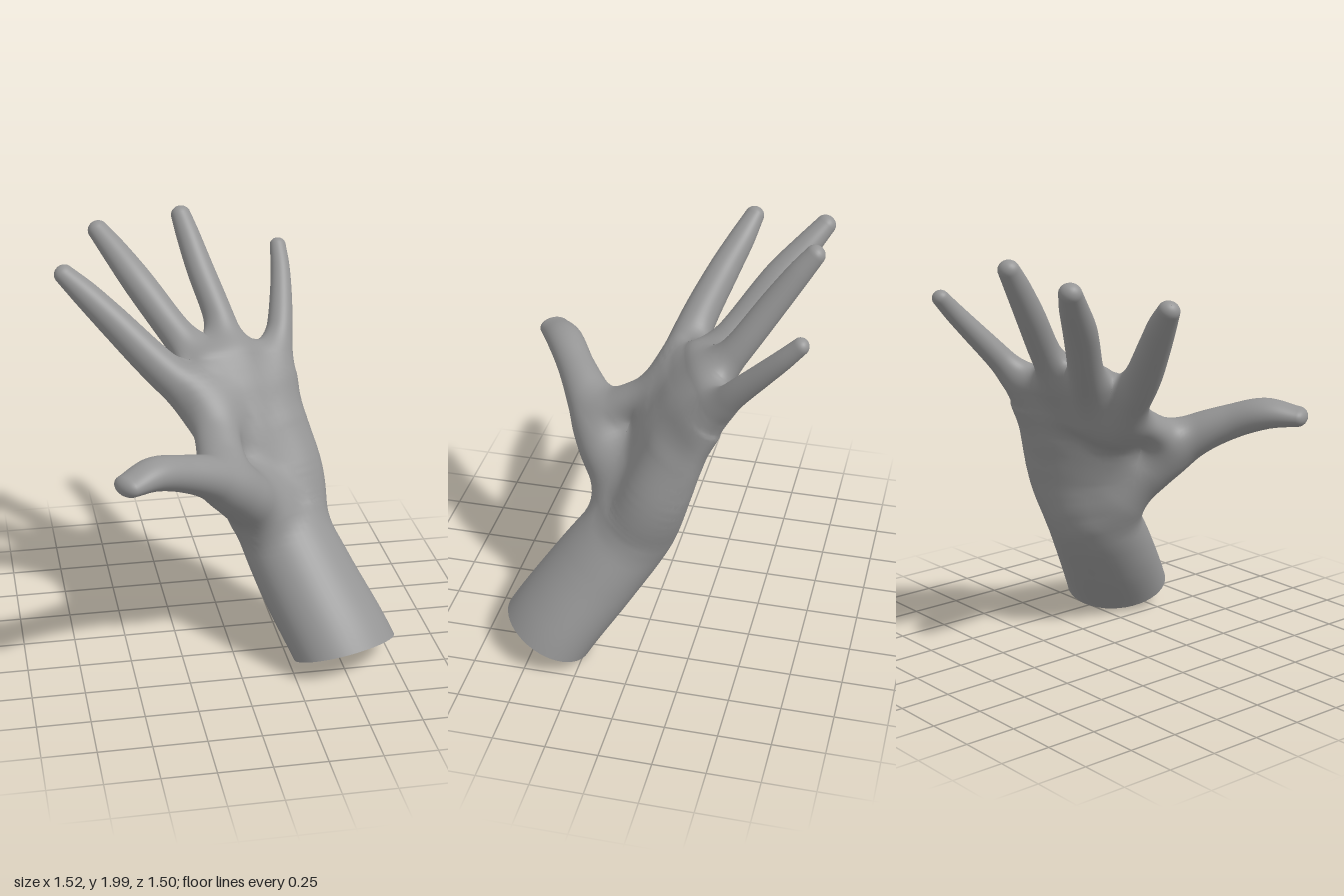
import * as THREE from 'three';

const SIDES = 44, RINGS = 50, CAP = 7, SAMPLES = 44, BLEND = 0.115;
const ACROSS = [0.82, 0.05, -0.57]; // runs across the palm, thumb side to little finger

// Each part: rows of [x, y, z, half width, half thickness] from base to tip
const PARTS = {
  forearmAndPalm: { across: ACROSS, cutAtRim: true, rows: [
    [0.57, -0.05, 0.525, 0.27, 0.21], [0.50, 0.12, 0.425, 0.265, 0.207],
    [0.367, 0.38, 0.235, 0.25, 0.21], [0.265, 0.63, 0.06, 0.235, 0.195],
    [0.235, 0.85, -0.025, 0.26, 0.145], [0.17, 1.09, -0.09, 0.295, 0.115],
    [0.12, 1.25, -0.155, 0.285, 0.098], [0.105, 1.355, -0.225, 0.225, 0.078]] },
  heelOfPalm: { across: ACROSS, rows: [
    [0.36, 0.66, 0.03, 0.09, 0.10], [0.375, 0.74, -0.005, 0.105, 0.11],
    [0.36, 0.86, -0.05, 0.11, 0.105], [0.31, 1.02, -0.12, 0.095, 0.085]] },
  thumb: { across: [0.62, 0, 0.78], rows: [
    [0.13, 0.74, 0.16, 0.14, 0.13], [0.02, 0.885, 0.265, 0.148, 0.13],
    [-0.12, 1.02, 0.385, 0.115, 0.105], [-0.27, 1.105, 0.495, 0.092, 0.085],
    [-0.42, 1.16, 0.595, 0.09, 0.075], [-0.545, 1.155, 0.685, 0.075, 0.048]] },
  thumbWeb: { across: [0.8, 0, 0.3], rows: [
    [-0.01, 1.18, -0.10, 0.06, 0.05], [-0.06, 1.175, 0.0, 0.09, 0.07],
    [-0.06, 1.115, 0.13, 0.10, 0.07], [-0.055, 1.04, 0.24, 0.095, 0.07],
    [-0.03, 0.96, 0.31, 0.06, 0.06]] },
  indexFinger: { across: ACROSS, rows: [
    [-0.04, 1.13, -0.05, 0.08, 0.08], [-0.16, 1.27, -0.06, 0.10, 0.10],
    [-0.31, 1.41, -0.10, 0.087, 0.09], [-0.50, 1.605, -0.19, 0.074, 0.077],
    [-0.62, 1.725, -0.253, 0.064, 0.062], [-0.71, 1.81, -0.295, 0.05, 0.045]] },
  middleFinger: { across: ACROSS, rows: [
    [0.01, 1.20, -0.14, 0.075, 0.07], [-0.09, 1.36, -0.24, 0.088, 0.085],
    [-0.20, 1.50, -0.345, 0.08, 0.079], [-0.34, 1.69, -0.485, 0.077, 0.073],
    [-0.44, 1.82, -0.60, 0.064, 0.06], [-0.505, 1.90, -0.67, 0.052, 0.047]] },
  ringFinger: { across: ACROSS, rows: [
    [0.12, 1.22, -0.18, 0.075, 0.065], [0.075, 1.40, -0.295, 0.082, 0.077],
    [0.04, 1.53, -0.39, 0.073, 0.07], [-0.025, 1.72, -0.52, 0.068, 0.064],
    [-0.07, 1.87, -0.625, 0.058, 0.056], [-0.093, 1.95, -0.685, 0.05, 0.046]] },
  littleFinger: { across: ACROSS, rows: [
    [0.25, 1.08, -0.16, 0.075, 0.06], [0.295, 1.23, -0.25, 0.09, 0.075],
    [0.325, 1.35, -0.34, 0.077, 0.069], [0.355, 1.45, -0.42, 0.063, 0.062],
    [0.383, 1.58, -0.54, 0.054, 0.053], [0.397, 1.68, -0.635, 0.047, 0.046],
    [0.40, 1.76, -0.71, 0.041, 0.038]] },
};

// Height above the slanted cut at the open end of the forearm
const aboveRim = p => p.y - (0.085 + 0.17 * (p.x - 0.49) + 0.4 * (p.z - 0.425));

// Centre, size and frame at t along a part
function makeSection({ across, rows }) {
  const path = new THREE.CatmullRomCurve3(rows.map(r => new THREE.Vector3(r[0], r[1], r[2])));
  const size = new THREE.CatmullRomCurve3(rows.map(r => new THREE.Vector3(r[3], r[4], 0)), false, 'catmullrom');
  const side = new THREE.Vector3(...across);
  return t => {
    const c = path.getPoint(t), s = size.getPoint(t), dir = path.getTangent(t);
    const u = side.clone().addScaledVector(dir, -dir.dot(side)).normalize();
    return { c, dir, u, v: dir.clone().cross(u), w: s.x, h: s.y };
  };
}

// Approximate distance from a point to one part's rounded, elliptical limb
function limbDistance(frames, x, y, z) {
  let best = Infinity, bi = 0, bt = 0;
  for (let i = 0; i < frames.length - 1; i++) {
    const a = frames[i].c, b = frames[i + 1].c;
    const ex = b.x - a.x, ey = b.y - a.y, ez = b.z - a.z;
    const px = x - a.x, py = y - a.y, pz = z - a.z;
    const t = Math.min(1, Math.max(0, (px * ex + py * ey + pz * ez) / (ex * ex + ey * ey + ez * ez)));
    const d = (px - t * ex) ** 2 + (py - t * ey) ** 2 + (pz - t * ez) ** 2;
    if (d < best) { best = d; bi = i; bt = t; }
  }
  const A = frames[bi], B = frames[bi + 1], mix = (a, b) => a + (b - a) * bt;
  const px = x - mix(A.c.x, B.c.x), py = y - mix(A.c.y, B.c.y), pz = z - mix(A.c.z, B.c.z);
  const along = k => px * mix(A[k].x, B[k].x) + py * mix(A[k].y, B[k].y) + pz * mix(A[k].z, B[k].z);
  const w = mix(A.w, B.w), h = mix(A.h, B.h);
  const p = along('u') / w, q = along('v') / h, r = along('dir') / h;
  const k0 = Math.hypot(p, q, r), k1 = Math.hypot(p / w, q / h, r / h);
  return k1 < 1e-6 ? -h : k0 * (k0 - 1) / k1;
}

// Smooth union of all limbs
function skinDistance(limbs, x, y, z) {
  let d = 10;
  for (const frames of limbs) {
    const e = limbDistance(frames, x, y, z);
    const k = Math.max(BLEND - Math.abs(d - e), 0) / BLEND;
    d = Math.min(d, e) - k * k * BLEND * 0.25;
  }
  return d;
}

// Elliptical loft with a domed tip; a cut part starts each column at the rim
function loft(section, cutAtRim) {
  const pos = [], index = [], rows = RINGS + 1 + CAP;
  const pointAt = (t, th, dome) => {
    const s = section(t);
    return s.c.addScaledVector(s.dir, Math.sin(dome) * s.h)
      .addScaledVector(s.u, Math.cos(th) * Math.cos(dome) * s.w)
      .addScaledVector(s.v, Math.sin(th) * Math.cos(dome) * s.h);
  };
  const starts = Array.from({ length: SIDES }, (_, j) => {
    let lo = 0, hi = cutAtRim ? 0.4 : 0;
    for (let k = 0; k < 16; k++) {
      const mid = (lo + hi) / 2;
      if (aboveRim(pointAt(mid, j / SIDES * Math.PI * 2, 0)) > 0) hi = mid; else lo = mid;
    }
    return hi;
  });
  for (let i = 0; i < rows; i++) {
    const dome = Math.max(0, i - RINGS) / CAP * Math.PI / 2 * 0.995;
    for (let j = 0; j < SIDES; j++) {
      const t = THREE.MathUtils.lerp(starts[j], 1, Math.min(1, i / RINGS));
      pos.push(...pointAt(t, j / SIDES * Math.PI * 2, dome).toArray());
      if (i < rows - 1) {
        const o = i * SIDES + j, n = i * SIDES + (j + 1) % SIDES;
        index.push(o, n, o + SIDES, n, n + SIDES, o + SIDES);
      }
    }
  }
  const g = new THREE.BufferGeometry();
  g.setAttribute('position', new THREE.Float32BufferAttribute(pos, 3));
  g.setIndex(index);
  return g;
}

// Draw the vertices onto the blended skin and take smooth normals from it
function blendSkin(g, limbs) {
  const pos = g.attributes.position, normals = [], E = 0.012;
  const p = new THREE.Vector3(), n = new THREE.Vector3();
  const f = (x, y, z) => skinDistance(limbs, x, y, z);
  const slope = () => n.set(
    f(p.x + E, p.y, p.z) - f(p.x - E, p.y, p.z),
    f(p.x, p.y + E, p.z) - f(p.x, p.y - E, p.z),
    f(p.x, p.y, p.z + E) - f(p.x, p.y, p.z - E)).normalize();
  for (let i = 0; i < pos.count; i++) {
    p.fromBufferAttribute(pos, i);
    // vertices buried deep in another part stay hidden there
    const weight = THREE.MathUtils.smoothstep(f(p.x, p.y, p.z), -0.09, -0.055);
    for (let k = 0; k < 3 && weight > 0; k++) {
      const d = THREE.MathUtils.clamp(f(p.x, p.y, p.z), -0.05, 0.05);
      p.addScaledVector(slope(), -d * weight);
    }
    normals.push(...slope().toArray());
    pos.setXYZ(i, p.x, p.y, p.z);
  }
  g.setAttribute('normal', new THREE.Float32BufferAttribute(normals, 3));
  return g;
}

export function createModel() {
  const hand = new THREE.Group();
  hand.name = 'openHand';
  const material = new THREE.MeshStandardMaterial({ color: 0x959595, side: THREE.DoubleSide });
  const sections = Object.values(PARTS).map(makeSection);
  const limbs = sections.map(s => Array.from({ length: SAMPLES + 1 }, (_, i) => s(i / SAMPLES)));
  Object.entries(PARTS).forEach(([name, part], i) => {
    const mesh = new THREE.Mesh(blendSkin(loft(sections[i], part.cutAtRim), limbs), material);
    mesh.name = name;
    hand.add(mesh);
  });
  return hand;
}
